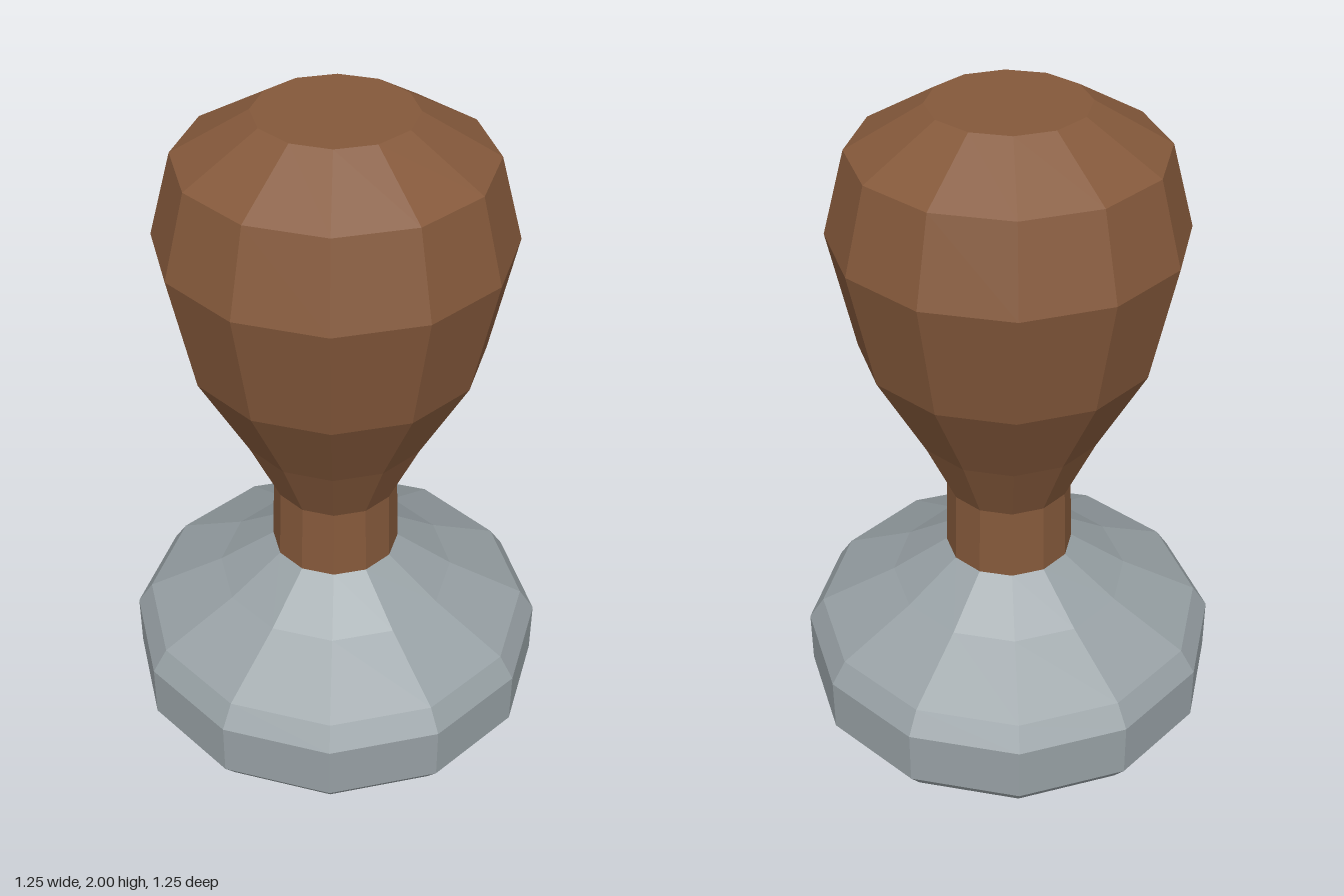
import * as THREE from 'three';

const SIDES = 12;

// Faceted turned part; profile is [flat-to-flat half width, height], bottom to top
function turned(name, profile, color) {
  const toCorner = 1 / Math.cos(Math.PI / SIDES);
  const points = profile.map(([r, y]) => new THREE.Vector2(r * toCorner, y));
  const geometry = new THREE.LatheGeometry(points, SIDES, Math.PI / SIDES).toNonIndexed();
  geometry.computeVertexNormals();
  const material = new THREE.MeshStandardMaterial({ color, flatShading: true });
  const mesh = new THREE.Mesh(geometry, material);
  mesh.name = name;
  return mesh;
}

export function createModel() {
  const group = new THREE.Group();
  group.name = 'tamper';

  // Metal base: bevelled disc rising to a sloped collar
  group.add(turned('base', [
    [0, 0], [0.58, 0], [0.625, 0.06], [0.625, 0.235],
    [0.58, 0.305], [0.355, 0.425], [0.19, 0.54], [0, 0.54],
  ], 0x969fa3));

  // Wooden handle: narrow neck swelling to a rounded knob
  group.add(turned('handle', [
    [0, 0.54], [0.19, 0.54], [0.184, 0.77], [0.277, 0.98], [0.424, 1.26],
    [0.497, 1.62], [0.433, 1.87], [0.22, 2], [0, 2],
  ], 0x85593b));

  return group;
}
